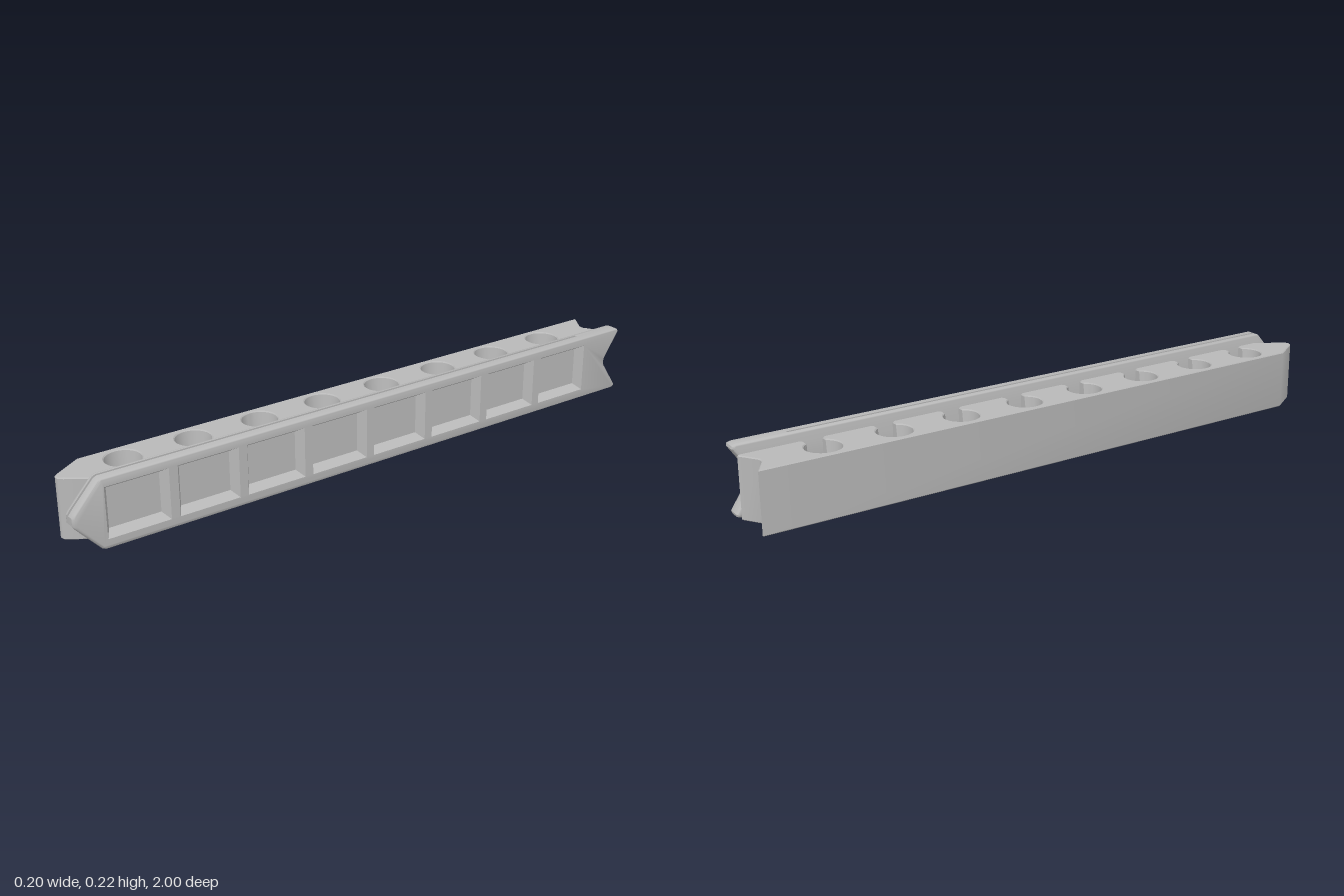
import * as THREE from 'three';
import { toCreasedNormals } from 'three/addons/utils/BufferGeometryUtils.js';

const V = (u, v) => new THREE.Vector2(u, v);

// Move every edge of a counter-clockwise outline inward by e
function inset(pts, e) {
  const n = pts.length;
  return pts.map((p, i) => {
    const a = p.clone().sub(pts[(i + n - 1) % n]).normalize();
    const b = pts[(i + 1) % n].clone().sub(p).normalize();
    const k = e / (1 + a.dot(b));
    return V(p.x - (a.y + b.y) * k, p.y + (a.x + b.x) * k);
  });
}

// Skin a stack of levels { w, outer, holes }; place(u, v, w) gives [x, y, z]
function loft(levels, place, crease = 0.6) {
  const pos = [];
  const put = (p, w) => pos.push(...place(p.x, p.y, w));
  for (let l = 0; l + 1 < levels.length; l++) {
    const A = levels[l], B = levels[l + 1];
    const loopsA = [A.outer, ...A.holes], loopsB = [B.outer, ...B.holes];
    loopsA.forEach((a, k) => {
      const b = loopsB[k];
      for (let i = 0; i < a.length; i++) {
        const j = (i + 1) % a.length;
        put(a[i], A.w); put(a[j], A.w); put(b[j], B.w);
        put(a[i], A.w); put(b[j], B.w); put(b[i], B.w);
      }
    });
  }
  const cap = (L, flip) => {
    const all = [L.outer, ...L.holes].flat();
    for (const f of THREE.ShapeUtils.triangulateShape(L.outer, L.holes)) {
      (flip ? [f[0], f[2], f[1]] : f).forEach(i => put(all[i], L.w));
    }
  };
  cap(levels[0], true);
  cap(levels[levels.length - 1], false);
  const g = new THREE.BufferGeometry();
  g.setAttribute('position', new THREE.Float32BufferAttribute(pos, 3));
  return toCreasedNormals(g, crease);
}

const COUNT = 8, PITCH = 0.2215;

// Rail plan: pointed front, notched back, keyholes opening on the +x side
function railOutline(r) {
  const h = 0.029, edge = 0.042, cx = -0.03, steps = 28;
  const pts = [V(-0.99, -0.1), V(0.89, -0.1), V(0.97, -0.05), V(0.982, -0.04),
    V(0.985, -0.03), V(0.982, -0.02), V(0.97, -0.01), V(0.89, edge)];
  for (let i = 0; i < COUNT; i++) {
    const zc = 0.783 - i * PITCH, a0 = Math.asin(h / r);
    pts.push(V(zc + h + 0.008, edge), V(zc + h, edge - 0.008));
    for (let s = 0; s <= steps; s++) {
      const t = a0 + (2 * Math.PI - 2 * a0) * s / steps;
      pts.push(V(zc + r * Math.sin(t), cx + r * Math.cos(t)));
    }
    pts.push(V(zc - h, edge - 0.008), V(zc - h - 0.008, edge));
  }
  pts.push(V(-0.985, edge), V(-0.99, edge - 0.006), V(-0.952, -0.022), V(-0.952, -0.038));
  return pts;
}

// Plate side silhouette in (y, z): pointed front, notched back
const backEnd = () => [V(0, -0.985), V(0.004, -0.996), V(0.012, -0.998), V(0.09, -0.946),
  V(0.1, -0.941), V(0.115, -0.941), V(0.125, -0.946), V(0.203, -0.998), V(0.211, -0.996), V(0.215, -0.985)];
const plateOutline = () => [...backEnd(), V(0.215, 0.91), V(0.21, 0.921), V(0.13, 0.993),
  V(0.12, 1), V(0.095, 1), V(0.085, 0.993), V(0.005, 0.921), V(0, 0.91)];

// Eight clockwise window openings, grown outward by g
function windows(g) {
  return Array.from({ length: COUNT }, (_, i) => {
    const z = 0.807 - i * PITCH, a = 0.08 + g, lo = 0.048 - g, hi = 0.172 + g;
    return [V(lo, z - a), V(lo, z + a), V(hi, z + a), V(hi, z - a)];
  });
}

export function createModel() {
  const grey = new THREE.MeshStandardMaterial({ color: 0xb8b8b8 });
  grey.name = 'plain grey';
  const model = new THREE.Group();
  model.name = 'slottedHolder';
  const add = (name, geometry, parent) => {
    const m = new THREE.Mesh(geometry, grey);
    m.name = name;
    parent.add(m);
  };

  // Rail with keyholes that widen towards the top
  const railLevels = [[0, 0.003], [0.003, 0], [0.187, 0], [0.19, 0.003]].map(([w, e]) => ({
    w, outer: inset(railOutline(0.032 + 0.022 * w / 0.19), e), holes: [],
  }));
  add('keyholeRail', loft(railLevels, (u, v, w) => [v, w, u]), model);

  // Label plate: backing, spacer around the insert slot, windowed face
  const plate = new THREE.Group();
  plate.name = 'labelPlate';
  model.add(plate);
  const side = (u, v, w) => [w, u, v];
  const x0 = 0.049, x1 = 0.0635, x2 = 0.0715, x3 = 0.099, R = 0.009;
  const round = [0, 1, 2, 3, 4].map(i => {
    const t = i * Math.PI / 8;
    return { d: R * (1 - Math.cos(t)), e: R * (1 - Math.sin(t)) };
  });
  const backing = round.map(({ d, e }) => ({ w: x0 + d, outer: inset(plateOutline(), e), holes: [] }));
  backing.push({ w: x1, outer: plateOutline(), holes: [] });
  add('plateBacking', loft(backing, side), plate);

  const spacer = () => [...backEnd(), V(0.215, -0.83), V(0.02, -0.83), V(0.02, 0.934),
    V(0.005, 0.921), V(0, 0.91)];
  add('slotSpacer', loft([x1, x2].map(w => ({ w, outer: spacer(), holes: [] })), side), plate);

  const flare = w => 0.017 * (w - x2) / (x3 - x2);
  const face = [{ w: x2, outer: plateOutline(), holes: windows(0) }];
  [...round].reverse().forEach(({ d, e }) => {
    const w = x3 - d;
    face.push({ w, outer: inset(plateOutline(), e), holes: windows(flare(w)) });
  });
  add('windowedFace', loft(face, side), plate);
  return model;
}
